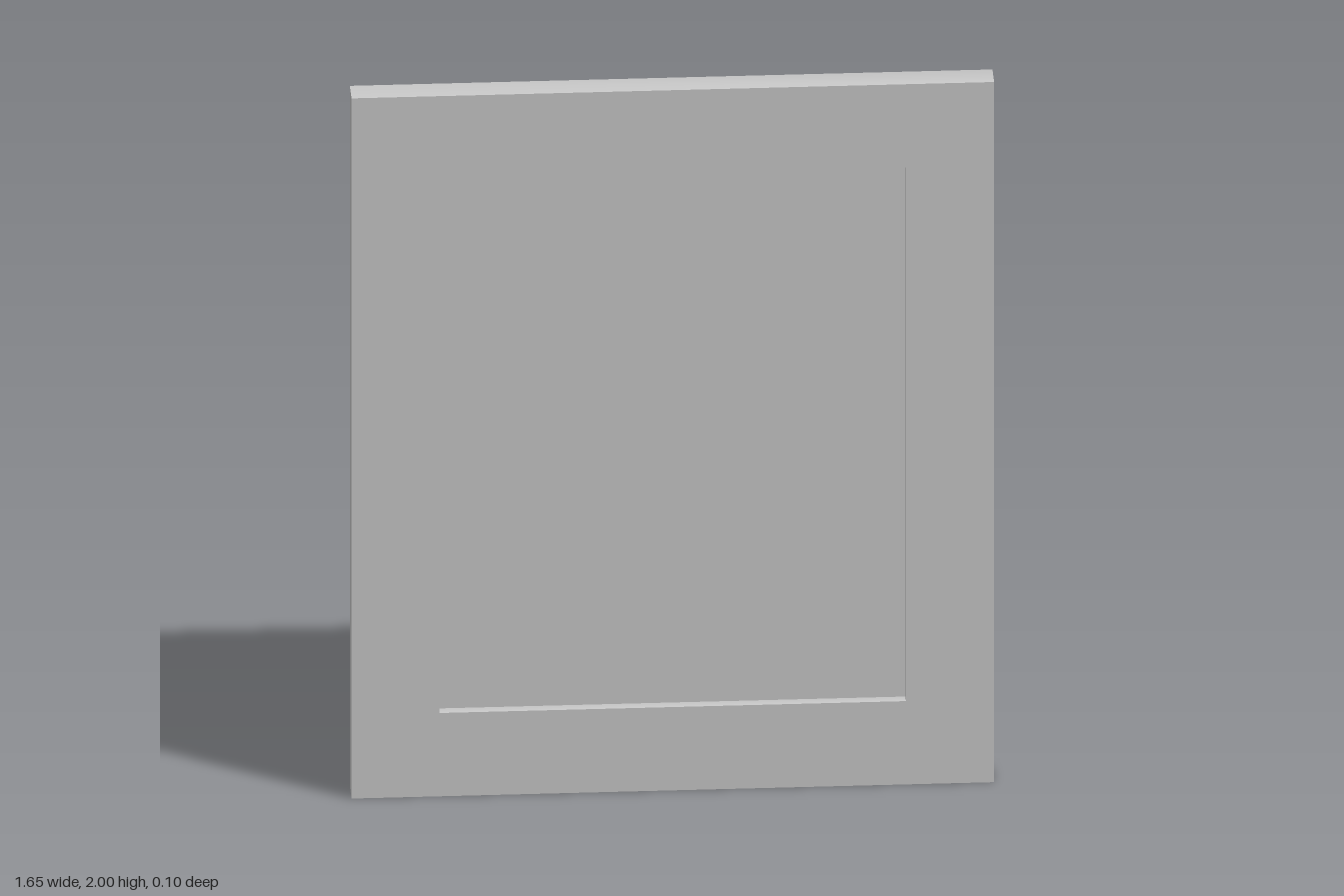
import * as THREE from 'three';
import { toCreasedNormals } from 'three/addons/utils/BufferGeometryUtils.js';

const HALF_W = 0.827, HALF_H = 1, RAIL = 0.227, RAIL_Y = 0.238;
const Z_FLAT = 0.048;

// Moulding section as [distance in from the outer edge, z]; the carved side faces -z
function railProfile() {
  const curve = (pts, n) =>
    new THREE.SplineCurve(pts.map(([d, z]) => new THREE.Vector2(d, z))).getPoints(n);
  const ridge = curve([[0, -0.026], [0.006, -0.037], [0.017, -0.046], [0.028, -0.048],
    [0.038, -0.045], [0.044, -0.038]], 14);
  const cove = curve([[0.044, -0.038], [0.052, -0.03], [0.075, -0.021], [0.11, -0.013],
    [0.15, -0.009], [0.185, -0.011]], 14);
  const lip = curve([[0.185, -0.011], [0.193, -0.018], [0.203, -0.022], [0.214, -0.018],
    [0.222, -0.008], [RAIL, 0.006]], 14);
  const v = (d, z) => new THREE.Vector2(d, z);
  return [v(0, Z_FLAT), ...ridge, ...cove.slice(1), ...lip.slice(1), v(RAIL, Z_FLAT), v(0, Z_FLAT)];
}

// One mitred rail swept between two neighbouring corners of the frame
function railGeometry(profile, from, to) {
  const at = ([sx, sy], p) => [
    sx * (HALF_W - p.x),
    HALF_H + sy * (HALF_H - p.x * RAIL_Y / RAIL),
    p.y,
  ];
  const pos = [];
  for (let i = 0; i < profile.length - 1; i++) {
    const a0 = at(from, profile[i]), a1 = at(from, profile[i + 1]);
    const b0 = at(to, profile[i]), b1 = at(to, profile[i + 1]);
    pos.push(...a0, ...a1, ...b1, ...a0, ...b1, ...b0);
  }
  const g = new THREE.BufferGeometry();
  g.setAttribute('position', new THREE.Float32BufferAttribute(pos, 3));
  return toCreasedNormals(g, 0.8);
}

export function createModel() {
  const model = new THREE.Group();
  model.name = 'pictureFrame';
  const grey = new THREE.MeshStandardMaterial({ color: 0xcccccc });
  grey.name = 'lightGrey';

  // Four mitred rails
  const profile = railProfile();
  const corners = [[-1, -1], [1, -1], [1, 1], [-1, 1]];
  ['bottomRail', 'leftRail', 'topRail', 'rightRail'].forEach((name, i) => {
    const rail = new THREE.Mesh(railGeometry(profile, corners[i], corners[(i + 1) % 4]), grey);
    rail.name = name;
    model.add(rail);
  });

  // Flat panel held in the opening
  const panel = new THREE.Mesh(
    new THREE.BoxGeometry(2 * (HALF_W - RAIL), 2 * (HALF_H - RAIL_Y), 0.016), grey);
  panel.name = 'picturePanel';
  panel.position.set(0, HALF_H, 0.013);
  model.add(panel);

  return model;
}
